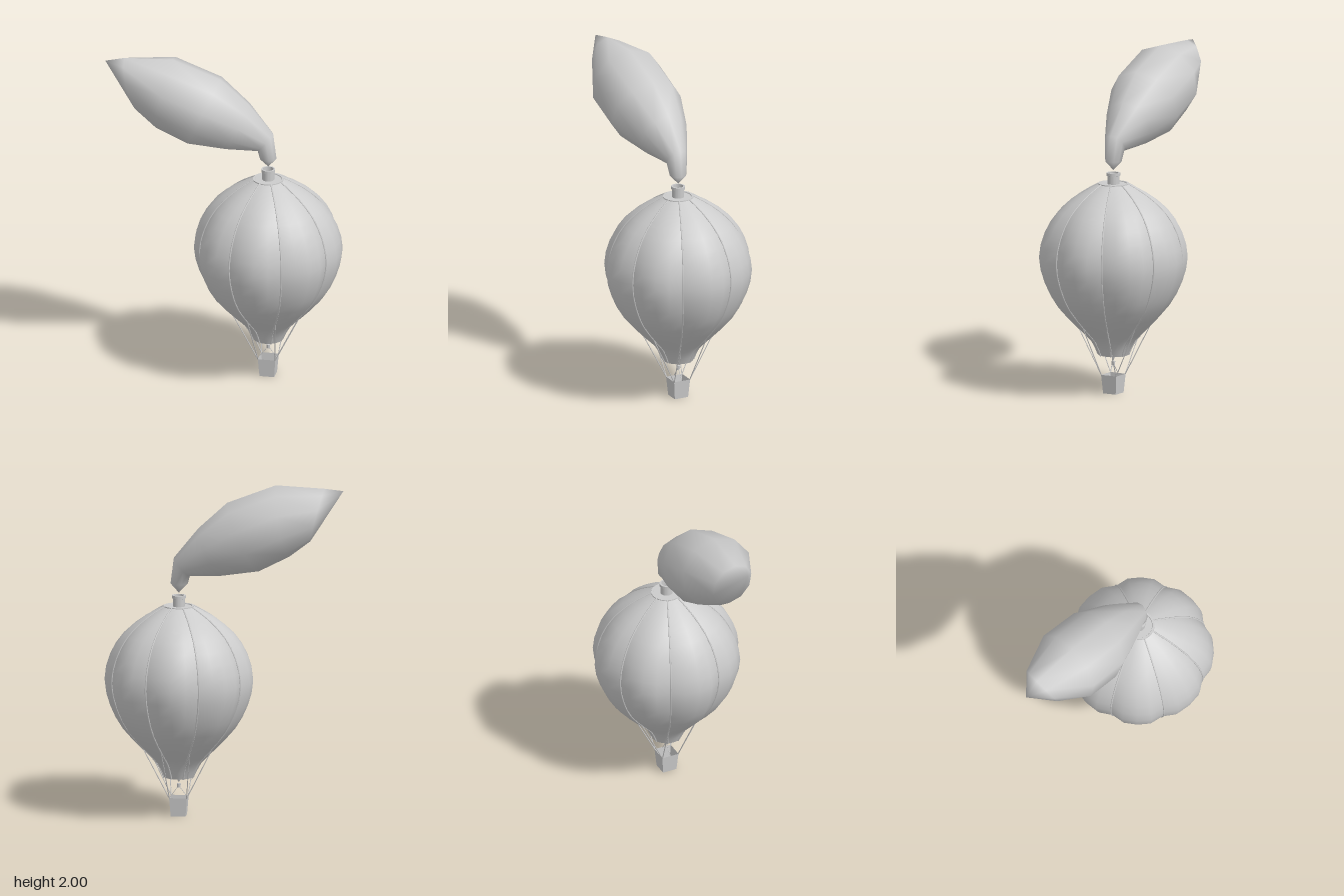
import * as THREE from 'three';
import { mergeVertices } from 'three/addons/utils/BufferGeometryUtils.js';

const smooth = new THREE.MeshStandardMaterial({ color: 0xcccccc, side: THREE.DoubleSide });
const flat = new THREE.MeshStandardMaterial({ color: 0xcccccc, side: THREE.DoubleSide, flatShading: true });
const V = (x, y, z) => new THREE.Vector3(x, y, z);

// Smooth surface over a grid of points: fn(column, row) -> Vector3
function gridSurface(cols, rows, fn) {
  const pos = [], idx = [];
  for (let j = 0; j <= rows; j++) {
    for (let i = 0; i <= cols; i++) {
      pos.push(...fn(i, j).toArray());
      if (i < cols && j < rows) {
        const a = j * (cols + 1) + i, b = a + 1, c = a + cols + 1, d = c + 1;
        idx.push(a, b, d, a, d, c);
      }
    }
  }
  let geo = new THREE.BufferGeometry();
  geo.setAttribute('position', new THREE.Float32BufferAttribute(pos, 3));
  geo.setIndex(idx);
  geo = mergeVertices(geo, 1e-5);
  geo.computeVertexNormals();
  return geo;
}

function add(parent, name, geo, mat = smooth) {
  const mesh = new THREE.Mesh(geo, mat);
  mesh.name = name;
  parent.add(mesh);
  return mesh;
}

// Thin straight rod between two points
function rod(parent, name, a, b, r) {
  const dir = b.clone().sub(a);
  const mesh = add(parent, name, new THREE.CylinderGeometry(r, r, dir.length(), 6));
  mesh.position.copy(a).add(b).multiplyScalar(0.5);
  mesh.quaternion.setFromUnitVectors(V(0, 1, 0), dir.normalize());
}

// Envelope profile (radius, height)
const profile = new THREE.SplineCurve([
  [0.09, 0.233], [0.135, 0.32], [0.215, 0.4], [0.335, 0.53], [0.41, 0.67], [0.443, 0.82],
  [0.41, 0.97], [0.328, 1.1], [0.205, 1.2], [0.088, 1.264],
].map(([r, y]) => new THREE.Vector2(r, y)));
const ROWS = 18, HALF = Math.PI / 8;

// Point on a gore: s runs -1..1 from seam to seam, t from mouth to crown
function gorePoint(angle, s, t, lift = 0) {
  const p = profile.getPoint(t);
  const dip = 0.03 * Math.max(0, (p.x - 0.09) / 0.355) * Math.abs(s) ** 4;
  const r = p.x - dip + lift, a = angle + s * HALF;
  return V(r * Math.sin(a), p.y, r * Math.cos(a));
}

function createBalloon() {
  const balloon = new THREE.Group();
  balloon.name = 'balloon';

  for (let k = 0; k < 8; k++) {
    const angle = k * Math.PI / 4;
    add(balloon, 'gore', gridSurface(4, ROWS, (i, j) => gorePoint(angle, i / 2 - 1, j / ROWS)));

    // Seam cord and rope from the seam to the nearest basket corner
    const cord = [];
    for (let j = 0; j <= ROWS; j++) cord.push(gorePoint(angle, 1, j / ROWS, 0.001));
    add(balloon, 'seam', new THREE.TubeGeometry(new THREE.CatmullRomCurve3(cord), 36, 0.005, 6));
    const top = gorePoint(angle, 1, 0.24, 0.002);
    rod(balloon, 'rope', V(Math.sign(top.x) * 0.051, 0.11, Math.sign(top.z) * 0.051), top, 0.003);
  }

  // Crown ring and chimney
  const crown = [
    [0.092, 1.255], [0.091, 1.268], [0.079, 1.268], [0.077, 1.263], [0.036, 1.263], [0.036, 1.31],
    [0.041, 1.312], [0.041, 1.33], [0.031, 1.33], [0.031, 1.285], [0, 1.285],
  ].map(([r, y]) => new THREE.Vector2(r, y));
  add(balloon, 'crown', new THREE.LatheGeometry(crown, 32), flat);

  // Tapered open basket with a floor
  const basket = add(balloon, 'basket',
    new THREE.CylinderGeometry(0.053 * Math.SQRT2, 0.044 * Math.SQRT2, 0.112, 4, 1, true), flat);
  basket.rotation.y = Math.PI / 4;
  basket.position.y = 0.056;
  add(balloon, 'basketFloor', new THREE.BoxGeometry(0.087, 0.006, 0.087)).position.y = 0.003;

  // Burner on two struts, with a small flame
  for (const s of [-1, 1]) rod(balloon, 'burnerStrut', V(s * 0.051, 0.112, 0), V(s * 0.006, 0.172, 0), 0.002);
  add(balloon, 'burner', new THREE.CylinderGeometry(0.012, 0.01, 0.024, 8), flat).position.y = 0.18;
  const flame = [[0, 0.198], [0.013, 0.222], [0.01, 0.24], [0, 0.265]].map(([r, y]) => new THREE.Vector2(r, y));
  add(balloon, 'flame', new THREE.LatheGeometry(flame, 8));
  return balloon;
}

// Smoke plume: each section is [upper x, upper y, lower x, lower y, centre z, half width]
function createSmoke() {
  const sections = [
    [0.265, 1.345, 0.265, 1.345, 0, 0],
    [0.315, 1.4, 0.212, 1.4, 0, 0.05],
    [0.295, 1.556, 0.2, 1.446, 0, 0.065],
    [0.15, 1.735, 0.02, 1.45, 0.005, 0.15],
    [-0.02, 1.89, -0.21, 1.48, 0.02, 0.225],
    [-0.31, 2.0, -0.39, 1.57, 0.03, 0.228],
    [-0.6, 1.985, -0.515, 1.665, 0.03, 0.125],
    [-0.71, 1.968, -0.71, 1.968, 0.055, 0],
  ];
  const sides = 10;
  return gridSurface(sides, sections.length - 1, (i, j) => {
    const [ux, uy, lx, ly, z, w] = sections[j];
    const a = (i % sides) / sides * Math.PI * 2, c = Math.cos(a) / 2;
    return V((ux + lx) / 2 + (ux - lx) * c, (uy + ly) / 2 + (uy - ly) * c, z - w * Math.sin(a));
  });
}

export function createModel() {
  const model = new THREE.Group();
  model.name = 'hotAirBalloon';
  const balloon = createBalloon();
  balloon.position.x = 0.265;
  model.add(balloon);
  add(model, 'smokePlume', createSmoke());
  return model;
}
